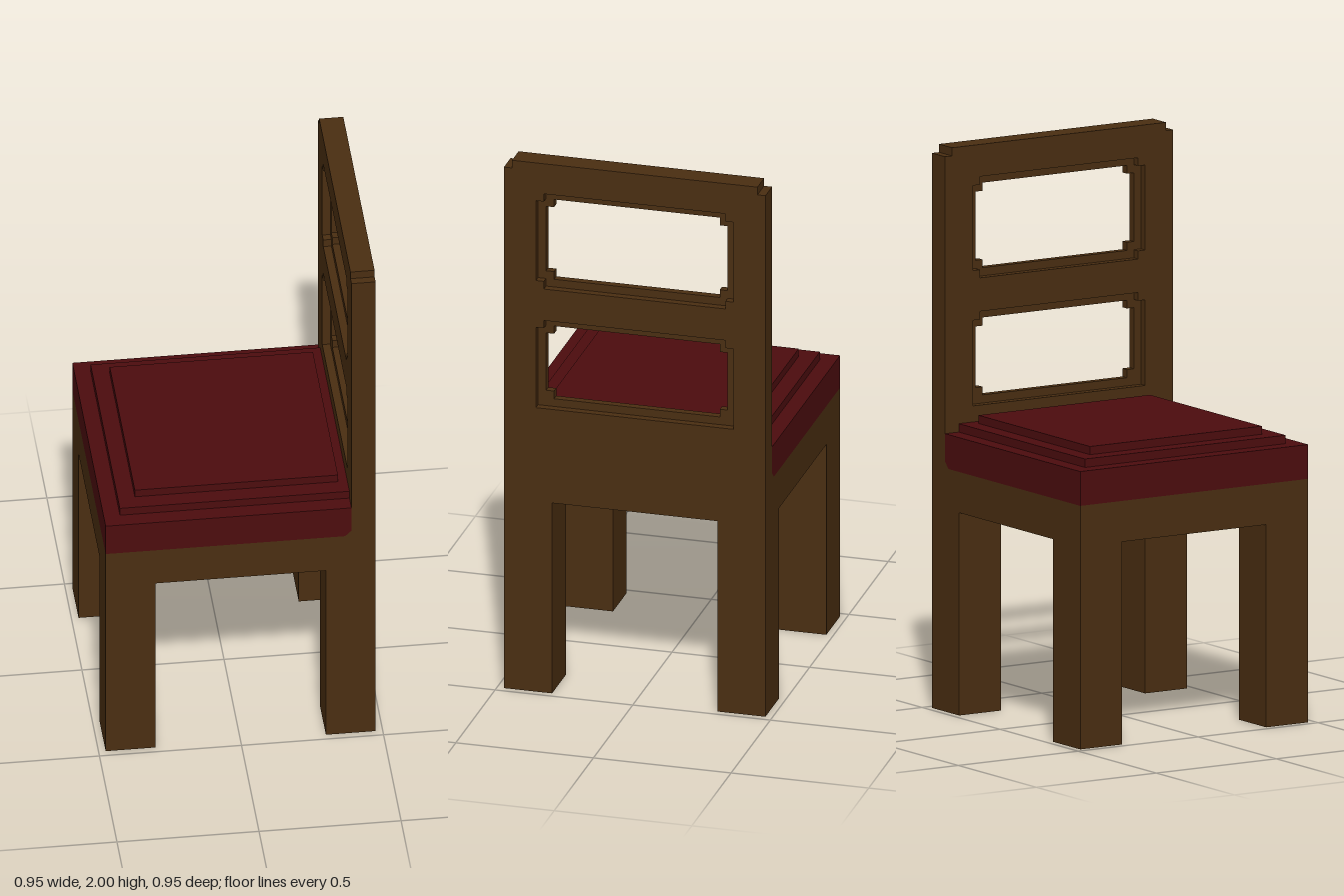
import * as THREE from 'three';

const HALF = 0.475, STEP = 0.029, BACK_X = 0.39, LAYER = (HALF - BACK_X) / 3;
const SEAT_Y = 0.865, APRON_Y = 0.72;

export function createModel() {
  const wood = new THREE.MeshStandardMaterial({ name: 'darkWood', color: 0x4a2e11 });
  const cloth = new THREE.MeshStandardMaterial({ name: 'redCushion', color: 0x4c0c0e });
  const chair = new THREE.Group();
  chair.name = 'chair';

  const add = (name, geometry, material, parent = chair) => {
    const mesh = new THREE.Mesh(geometry, material);
    mesh.name = name;
    parent.add(mesh);
    return mesh;
  };
  const box = (name, material, x0, x1, y0, y1, z0, z1) =>
    add(name, new THREE.BoxGeometry(x1 - x0, y1 - y0, z1 - z0), material)
      .position.set((x0 + x1) / 2, (y0 + y1) / 2, (z0 + z1) / 2);
  const points = (list) => list.map(([x, y]) => new THREE.Vector2(x, y));
  const extrude = (shape, depth) => new THREE.ExtrudeGeometry(shape, { depth, bevelEnabled: false });

  // Four square legs
  const inner = 0.3;
  for (const [sx, sz, name] of [[-1, 1, 'frontLeftLeg'], [-1, -1, 'frontRightLeg'], [1, 1, 'backLeftLeg'], [1, -1, 'backRightLeg']]) {
    const xs = [sx * inner, sx * HALF].sort((a, b) => a - b);
    const zs = [sz * inner, sz * HALF].sort((a, b) => a - b);
    box(name, wood, ...xs, 0, APRON_Y, ...zs);
  }

  // Seat base and cushion share a small sloped joint at the backrest
  const slope = 0.022;
  const base = new THREE.Shape(points([
    [-HALF, APRON_Y], [BACK_X, APRON_Y], [BACK_X, SEAT_Y + slope], [BACK_X - slope, SEAT_Y], [-HALF, SEAT_Y],
  ]));
  const cushion = new THREE.Shape(points([
    [-HALF, SEAT_Y], [BACK_X - slope, SEAT_Y], [BACK_X, SEAT_Y + slope], [BACK_X, 0.987], [-HALF, 0.987],
  ]));
  add('seatBase', extrude(base, 2 * HALF), wood).position.z = -HALF;
  add('cushion', extrude(cushion, 2 * HALF), cloth).position.z = -HALF;
  box('cushionMiddleStep', cloth, -0.418, BACK_X, 0.987, 1.017, -0.418, 0.418);
  box('cushionTopStep', cloth, -0.358, 0.357, 1.017, 1.046, -0.358, 0.358);

  // Window outline with stepped corners
  const steppedHole = (w, y0, y1, squareBottom) => {
    const s = STEP;
    const bottom = squareBottom
      ? [[-w, y0], [w, y0]]
      : [[-w, y0 + s], [-w + s, y0 + s], [-w + s, y0], [w - s, y0], [w - s, y0 + s], [w, y0 + s]];
    return new THREE.Path(points([
      ...bottom,
      [w, y1 - s], [w - s, y1 - s], [w - s, y1], [-w + s, y1], [-w + s, y1 - s], [-w, y1 - s],
    ]));
  };

  // Backrest: three layers, the middle one with narrower windows
  const backrest = new THREE.Group();
  backrest.name = 'backrest';
  chair.add(backrest);
  ['front', 'middle', 'rear'].forEach((side, i) => {
    const grow = i === 1 ? 0 : STEP;
    const shape = new THREE.Shape(points([
      [-HALF, APRON_Y], [HALF, APRON_Y], [HALF, 2 - STEP], [HALF - STEP, 2 - STEP],
      [HALF - STEP, 2], [-HALF + STEP, 2], [-HALF + STEP, 2 - STEP], [-HALF, 2 - STEP],
    ]));
    shape.holes.push(
      steppedHole(0.33 + grow, 1.555 - grow, 1.857 + grow, false),
      steppedHole(0.33 + grow, 1.103 - grow, 1.378 + grow, i !== 1),
    );
    const panel = add(side + 'BackPanel', extrude(shape, LAYER), wood, backrest);
    panel.rotation.y = Math.PI / 2;
    panel.position.x = BACK_X + i * LAYER;
  });

  return chair;
}
